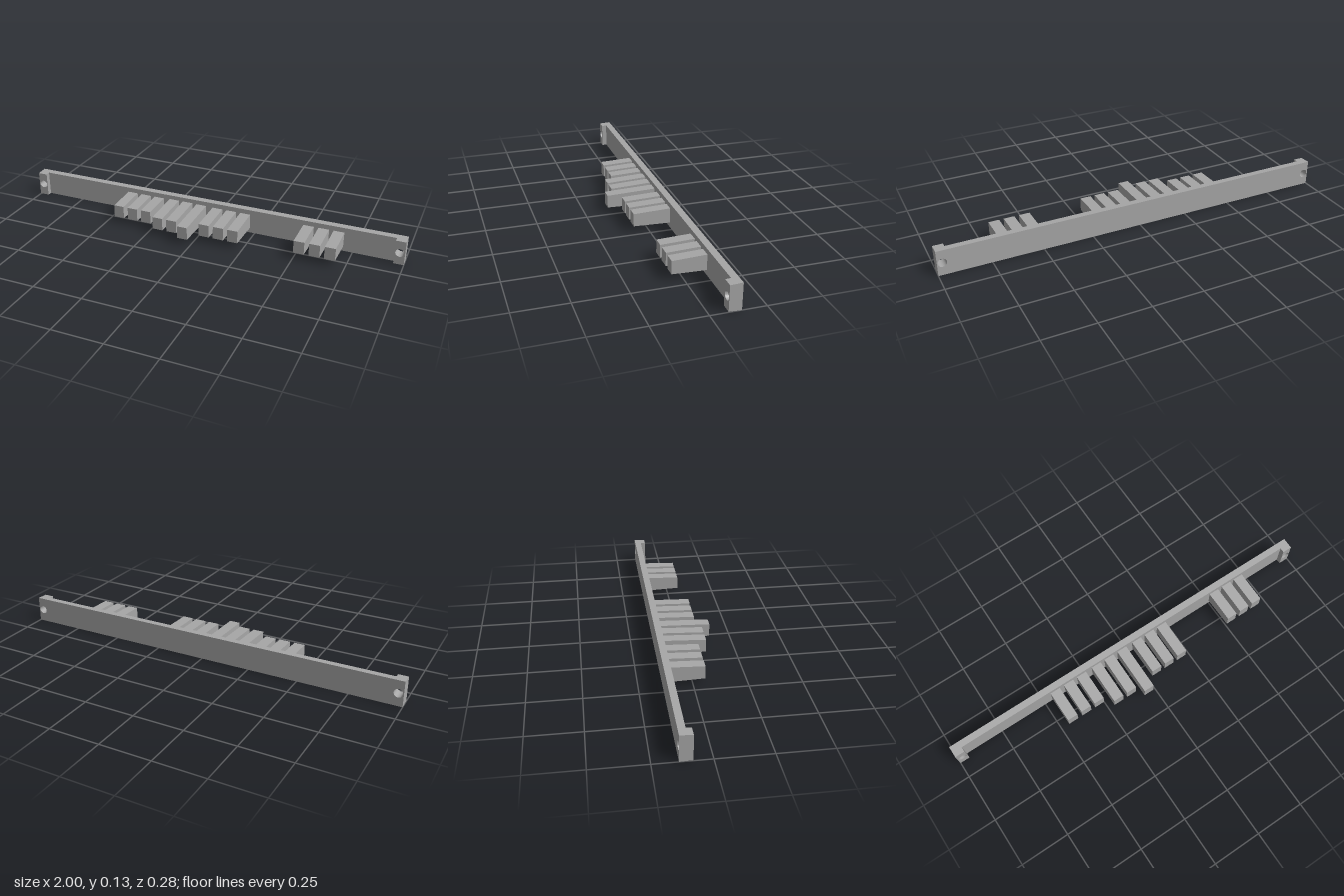
import * as THREE from 'three';

const MID_Y = 0.0635, BACK_Z = -0.139, PLATE_Z = -0.106, PAD_Z = -0.081;

// Scales heights about the mid line, from half height h0 at z0 to h1 at z1
function taper(geometry, z0, z1, h0, h1) {
  const p = geometry.attributes.position;
  for (let i = 0; i < p.count; i++) {
    const t = (p.getZ(i) - z0) / (z1 - z0);
    p.setY(i, MID_Y + p.getY(i) * (h0 + (h1 - h0) * t));
  }
  geometry.computeVertexNormals();
  return geometry;
}

// Upright slab between x0 and x1, drilled at the given x positions
function drilledSlab(x0, x1, z0, z1, holes) {
  const h = MID_Y;
  const shape = new THREE.Shape([
    new THREE.Vector2(x0, -h), new THREE.Vector2(x1, -h),
    new THREE.Vector2(x1, h), new THREE.Vector2(x0, h),
  ]);
  for (const x of holes) {
    const hole = new THREE.Path();
    hole.absarc(x, 0, 0.021, 0, Math.PI * 2, true);
    shape.holes.push(hole);
  }
  const g = new THREE.ExtrudeGeometry(shape, { depth: z1 - z0, bevelEnabled: false, curveSegments: 20 });
  g.translate(0, 0, z0);
  // slight draft towards the front
  return taper(g, BACK_Z, PAD_Z, 1, 0.96);
}

export function createModel() {
  const group = new THREE.Group();
  const grey = new THREE.MeshStandardMaterial({ color: 0xa6a6a6 });
  grey.name = 'grey';
  const add = (name, geometry) => {
    const mesh = new THREE.Mesh(geometry, grey);
    mesh.name = name;
    group.add(mesh);
  };

  // Long backing plate and its drilled end pads
  add('backPlate', drilledSlab(-1, 1, BACK_Z, PLATE_Z, [-0.975, 0.975]));
  add('leftPad', drilledSlab(0.951, 1, PLATE_Z, PAD_Z, [0.975]));
  add('rightPad', drilledSlab(-1, -0.951, PLATE_Z, PAD_Z, [-0.975]));

  // Tapered fingers: centre x, front z, half height at the plate
  const fingers = [
    [-0.432, 0.055, 0.038], [-0.355, 0.055, 0.038], [-0.28, 0.055, 0.038],
    [-0.193, 0.098, 0.041], [-0.118, 0.098, 0.041], [-0.041, 0.139, 0.04],
    [0.048, 0.076, 0.038], [0.123, 0.076, 0.038], [0.198, 0.076, 0.038],
    [0.526, 0.055, 0.038], [0.602, 0.055, 0.038], [0.677, 0.055, 0.038],
  ];
  fingers.forEach(([x, z, half], i) => {
    const z0 = PLATE_Z - 0.005;
    const g = new THREE.BoxGeometry(0.053, 2, z - z0);
    g.translate(x, 0, (z + z0) / 2);
    add('finger' + (i + 1), taper(g, z0, z, half, 0.032));
  });
  return group;
}
